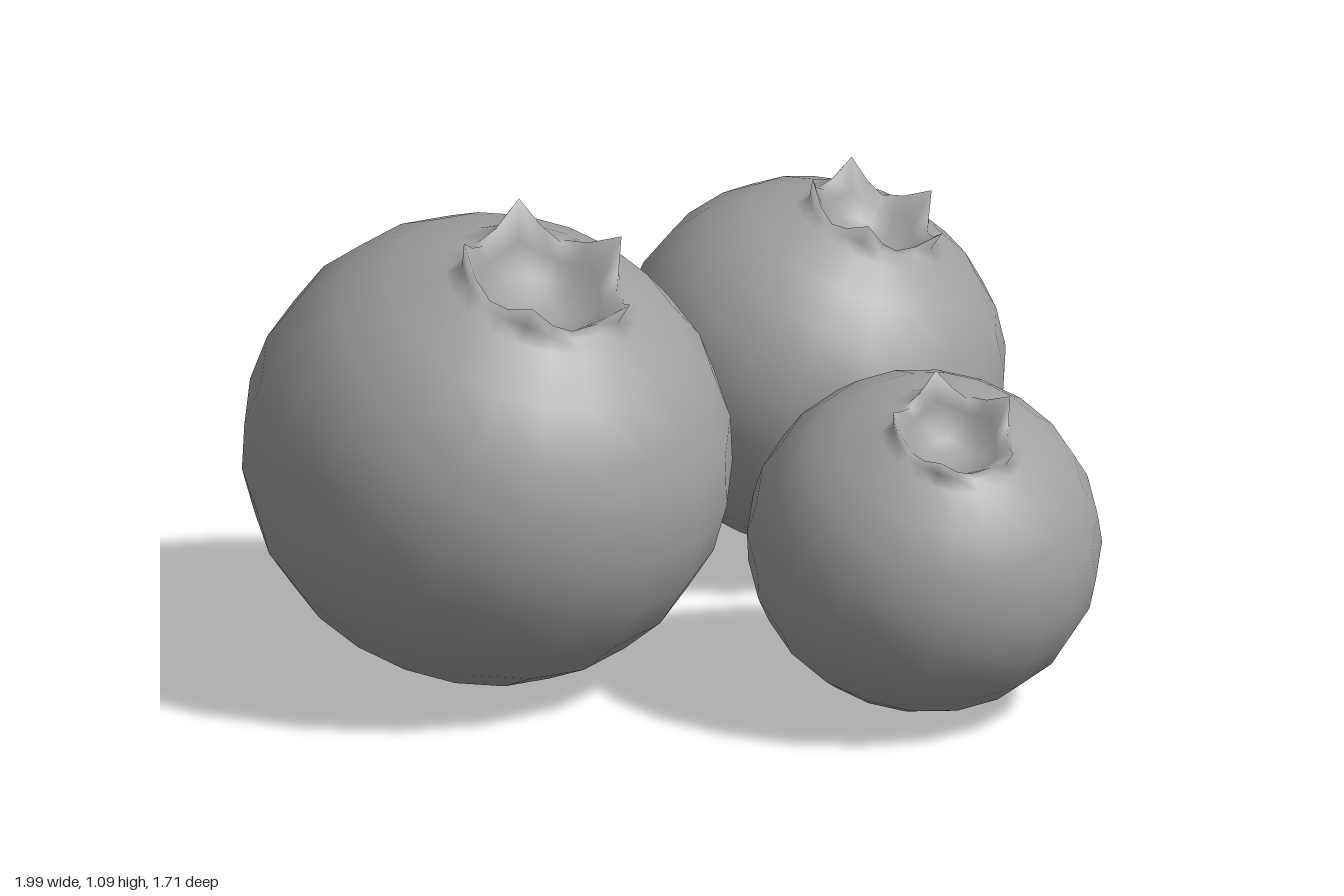
import * as THREE from 'three';
import { mergeVertices } from 'three/addons/utils/BufferGeometryUtils.js';

const SEGMENTS = 20, TEETH = 5;

// Berry of unit radius: oblate body running up into a toothed crown and a sunken cup
function berryGeometry() {
  const profile = [];
  // [radius, height, share of the tooth displacement]
  const rows = [];
  for (let i = 0; i <= 11; i++) {
    const a = (i / 11) * 2.72;
    rows.push([Math.sin(a), -0.925 * Math.cos(a), 0]);
  }
  rows.push(
    [0.335, 0.865, 0.22],  // foot of the crown
    [0.30, 0.875, 1],      // toothed rim
    [0.25, 0.82, 0.3],     // inner wall
    [0.19, 0.755, 0],
    [0.10, 0.725, 0],      // cup floor
    [0, 0.72, 0]
  );
  rows.forEach(([r, y]) => profile.push(new THREE.Vector2(r, y)));

  const geo = new THREE.LatheGeometry(profile, SEGMENTS);
  const pos = geo.attributes.position;
  const step = SEGMENTS / TEETH;
  for (let i = 0; i < pos.count; i++) {
    const seg = Math.floor(i / rows.length);
    const [r, y, share] = rows[i % rows.length];
    if (!share) continue;
    // One tooth points along +x, the others follow at even spacing
    const k = (((seg - SEGMENTS / 4) % step) + step) % step;
    const lift = share * [1, 0.3, 0, 0.3][k];
    const grow = 1 + (0.075 * lift) / r;
    pos.setXYZ(i, pos.getX(i) * grow, y + 0.13 * lift, pos.getZ(i) * grow);
  }
  geo.deleteAttribute('uv');
  geo.deleteAttribute('normal');
  const welded = mergeVertices(geo, 1e-4);
  welded.computeVertexNormals();
  return welded;
}

export function createModel() {
  const model = new THREE.Group();
  model.name = 'berries';
  const grey = new THREE.MeshStandardMaterial({ color: 0xa0a0a0 });
  grey.name = 'grey';

  const bodyGeo = berryGeometry();
  const stemGeo = new THREE.CylinderGeometry(0.1, 0.115, 0.14, 8);

  // [name, radius, centre, lean along x, lean along z]
  const berries = [
    ['largeBerry', 0.542, [-0.457, 0.52, -0.32], 0.01, 0.38],
    ['mediumBerry', 0.43, [0.565, 0.437, -0.38], 0.187, 0.315],
    ['smallBerry', 0.39, [0.112, 0.38, 0.47], -0.14, 0.44]
  ];
  for (const [name, radius, centre, leanX, leanZ] of berries) {
    const berry = new THREE.Group();
    berry.name = name;
    const body = new THREE.Mesh(bodyGeo, grey);
    body.name = 'bodyAndCrown';
    const stem = new THREE.Mesh(stemGeo, grey);
    stem.name = 'stem';
    stem.position.y = -0.91;
    berry.add(body, stem);
    berry.scale.setScalar(radius);
    berry.position.set(...centre);
    berry.rotation.set(Math.asin(leanZ), 0, -Math.asin(leanX));
    model.add(berry);
  }
  return model;
}
